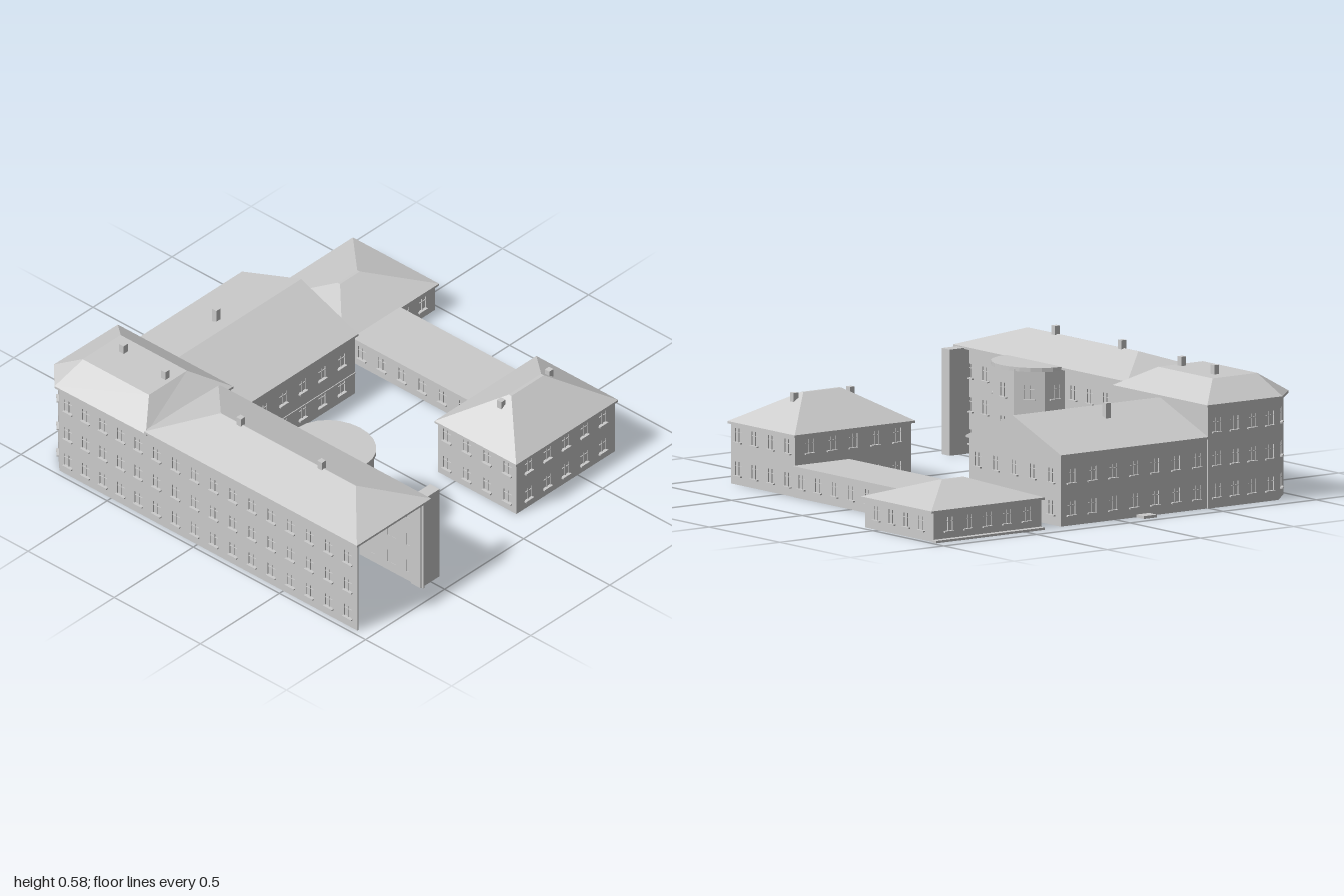
import * as THREE from 'three';
import { mergeGeometries } from 'three/addons/utils/BufferGeometryUtils.js';

const grey = new THREE.MeshStandardMaterial({ color: 0xcccccc, flatShading: true, side: THREE.DoubleSide });

function add(parent, geometry, name) {
  const m = new THREE.Mesh(geometry, grey);
  m.name = name;
  parent.add(m);
  return m;
}

// Box given by its low and high corners
function block(x0, y0, z0, x1, y1, z1) {
  return new THREE.BoxGeometry(x1 - x0, y1 - y0, z1 - z0)
    .translate((x0 + x1) / 2, (y0 + y1) / 2, (z0 + z1) / 2);
}

const WIN_W = 0.044, WIN_H = 0.06, THICK = 0.008;

// Wall from a to b (outside on the right hand), with a grid of window openings
function wall(parent, name, a, b, y0, y1, { cols = 0, rows = [], pitch = 0, peak = 0 } = {}) {
  const dx = b[0] - a[0], dz = b[1] - a[1], len = Math.hypot(dx, dz);
  const shape = new THREE.Shape();
  shape.moveTo(0, y0).lineTo(len, y0).lineTo(len, y1);
  if (peak) shape.lineTo(len / 2, peak);
  shape.lineTo(0, y1);
  const parts = [];
  const step = pitch || len / Math.max(cols, 1);
  for (let i = 0; i < cols; i++) for (const y of rows) {
    const l = len / 2 + (i - (cols - 1) / 2) * step - WIN_W / 2, r = l + WIN_W, t = y + WIN_H, m = l + WIN_W / 2;
    const hole = new THREE.Path();
    hole.moveTo(l, y).lineTo(l, t).lineTo(r, t).lineTo(r, y);
    shape.holes.push(hole);
    parts.push(
      block(l, y, -0.007, r, t, -0.005),                        // pane
      block(m - 0.002, y, -0.006, m + 0.002, t, -0.001),        // mullion
      block(l, y + 0.04, -0.006, r, y + 0.043, -0.001),         // transom
      block(l - 0.004, y - 0.006, -0.004, r + 0.004, y, 0.01)); // sill
  }
  const g = new THREE.Group();
  g.name = name;
  g.position.set(a[0], 0, a[1]);
  g.rotation.y = Math.atan2(-dz, dx);
  add(g, new THREE.ExtrudeGeometry(shape, { depth: THICK, bevelEnabled: false }).translate(0, 0, -THICK), name + 'Panel');
  if (parts.length) add(g, mergeGeometries(parts), name + 'Windows');
  parent.add(g);
}

// Roof lofted from an eave outline to a ridge or deck outline of as many points
function roof(parent, name, low, high, y0, y1) {
  const rings = [low.map(p => [p[0], y0 - 0.01, p[1]]), low.map(p => [p[0], y0, p[1]]), high.map(p => [p[0], y1, p[1]])];
  const pos = [], n = low.length;
  const tri = (...pts) => pts.forEach(p => pos.push(...p));
  for (let k = 0; k < 2; k++) for (let i = 0; i < n; i++) {
    const j = (i + 1) % n, [p, q] = [rings[k], rings[k + 1]];
    tri(p[i], p[j], q[j]);
    tri(p[i], q[j], q[i]);
  }
  for (let i = 1; i < n - 1; i++) tri(rings[2][0], rings[2][i], rings[2][i + 1]);
  const g = new THREE.BufferGeometry();
  g.setAttribute('position', new THREE.Float32BufferAttribute(pos, 3));
  g.computeVertexNormals();
  add(parent, g, name);
}

// Outline order: south-west, south-east, north-east, north-west
const rect = (x0, z0, x1, z1) => [[x0, z1], [x1, z1], [x1, z0], [x0, z0]];

function chimney(parent, x, z, y0, y1) {
  add(parent, block(x - 0.013, y0, z - 0.013, x + 0.013, y1, z + 0.013), 'chimney');
}

function group(root, name) {
  const g = new THREE.Group();
  g.name = name;
  root.add(g);
  return g;
}

export function createModel() {
  const root = new THREE.Group();
  root.name = 'buildingComplex';
  const three = [0.045, 0.185, 0.33], two = [0.045, 0.185], one = [0.042];

  // Long wing, open at its front end
  const wing = group(root, 'longWing');
  wall(wing, 'wingOuterWall', [-0.975, -0.29], [-0.975, 0.93], 0, 0.46, { cols: 11, rows: three });
  wall(wing, 'wingCourtWallFront', [-0.55, 0.93], [-0.55, 0.56], 0, 0.46, { cols: 3, rows: three, pitch: 0.11 });
  wall(wing, 'wingCourtWallRear', [-0.55, 0.19], [-0.55, -0.29], 0, 0.46, { cols: 4, rows: three, pitch: 0.115 });
  wall(wing, 'wingUpperPartition', [-0.97, -0.29], [-0.55, -0.29], 0.27, 0.46);
  roof(wing, 'wingRoof', rect(-0.995, -0.29, -0.525, 0.945), rect(-0.757, -0.065, -0.755, 0.72), 0.465, 0.545);
  add(wing, block(-0.565, 0, 0.865, -0.445, 0.46, 0.92), 'entranceButtress');
  chimney(wing, -0.755, 0.05, 0.52, 0.58);
  chimney(wing, -0.755, 0.52, 0.52, 0.58);

  // Faceted stair bay on the courtyard side
  const bay = group(root, 'stairBay');
  const bayLine = [[-0.55, 0.565], [-0.455, 0.55], [-0.365, 0.45], [-0.365, 0.3], [-0.455, 0.2], [-0.55, 0.185]];
  for (let i = 0; i < bayLine.length - 1; i++)
    wall(bay, 'bayWall', bayLine[i], bayLine[i + 1], 0, 0.46, { cols: 1, rows: three });
  const arc = [];
  for (let i = 0; i <= 12; i++) {
    const t = Math.PI / 2 - (i / 12) * Math.PI;
    arc.push([-0.53 + 0.178 * Math.cos(t), 0.375 + 0.198 * Math.sin(t)]);
  }
  roof(bay, 'bayRoof', arc, arc, 0.46, 0.468);

  // Corner block with a cut corner and a flat roof deck
  const corner = group(root, 'cornerBlock');
  wall(corner, 'cornerOuterWall', [-0.975, -0.8], [-0.975, -0.29], 0, 0.45, { cols: 5, rows: three });
  wall(corner, 'cornerCutWall', [-0.87, -0.905], [-0.975, -0.8], 0, 0.45, { cols: 1, rows: three });
  wall(corner, 'cornerBackWall', [-0.49, -0.905], [-0.87, -0.905], 0, 0.45, { cols: 4, rows: three });
  wall(corner, 'cornerCourtWall', [-0.49, -0.25], [-0.49, -0.905], 0.27, 0.45);
  wall(corner, 'cornerFrontWall', [-0.55, -0.255], [-0.49, -0.255], 0, 0.45);
  roof(corner, 'cornerRoof',
    [[-0.99, -0.285], [-0.48, -0.245], [-0.48, -0.915], [-0.88, -0.92], [-0.995, -0.81]],
    [[-0.855, -0.39], [-0.615, -0.39], [-0.615, -0.775], [-0.853, -0.775], [-0.855, -0.773]], 0.45, 0.535);
  chimney(corner, -0.695, -0.685, 0.52, 0.575);
  chimney(corner, -0.715, -0.425, 0.52, 0.575);

  // Gabled rear wing
  const rear = group(root, 'rearWing');
  wall(rear, 'rearFrontWall', [-0.49, -0.25], [0.295, -0.25], 0, 0.31, { cols: 6, rows: two, pitch: 0.123 });
  wall(rear, 'rearGableWall', [0.295, -0.25], [0.295, -0.9], 0, 0.31, { cols: 5, rows: two, peak: 0.432 });
  wall(rear, 'rearBackWall', [0.295, -0.9], [-0.49, -0.9], 0, 0.31, { cols: 7, rows: two });
  add(rear, block(-0.49, 0.106, -0.252, 0.295, 0.112, -0.246), 'stringCourse');
  roof(rear, 'rearRoof', rect(-0.485, -0.915, 0.305, -0.24), rect(-0.485, -0.574, 0.305, -0.572), 0.312, 0.44);
  add(rear, block(-0.18, 0, -0.955, -0.11, 0.012, -0.9), 'rearStep');
  chimney(rear, -0.125, -0.67, 0.38, 0.465);

  // Detached front pavilion with two floors
  const pavilion = group(root, 'frontPavilion');
  const pv = rect(0.112, 0.4, 0.735, 0.855);
  pv.forEach((p, i) => wall(pavilion, 'pavilionWall', p, pv[(i + 1) % 4], 0, 0.265,
    { cols: i % 2 ? 4 : 5, rows: [0.04, 0.185], pitch: 0.117 }));
  roof(pavilion, 'pavilionRoof', rect(0.1, 0.39, 0.745, 0.865), rect(0.32, 0.62, 0.525, 0.635), 0.27, 0.405);
  add(pavilion, block(0.335, 0, 0.36, 0.39, 0.012, 0.4), 'pavilionStep');
  chimney(pavilion, 0.27, 0.622, 0.34, 0.405);
  chimney(pavilion, 0.57, 0.625, 0.35, 0.408);

  // Low flat-roofed corridor
  const corridor = group(root, 'corridor');
  wall(corridor, 'corridorOuterWall', [0.74, 0.4], [0.74, -0.41], 0, 0.13, { cols: 7, rows: one, pitch: 0.117 });
  wall(corridor, 'corridorCourtWall', [0.455, -0.41], [0.455, 0.4], 0, 0.13, { cols: 7, rows: one, pitch: 0.117 });
  const deck = rect(0.445, -0.41, 0.75, 0.4);
  roof(corridor, 'corridorRoof', deck, deck, 0.134, 0.137);

  // Low hipped rear pavilion
  const low = group(root, 'lowPavilion');
  const lp = rect(0.395, -0.895, 0.975, -0.41);
  lp.forEach((p, i) => wall(low, 'lowPavilionWall', p, lp[(i + 1) % 4], 0, 0.13,
    { cols: i % 2 ? 4 : 5, rows: one, pitch: 0.105 }));
  roof(low, 'lowPavilionRoof', rect(0.38, -0.9, 0.99, -0.4), rect(0.62, -0.65, 0.745, -0.635), 0.135, 0.215);
  add(low, block(0.4, 0, -0.925, 0.985, 0.01, -0.895), 'lowPavilionStep');

  return root;
}
